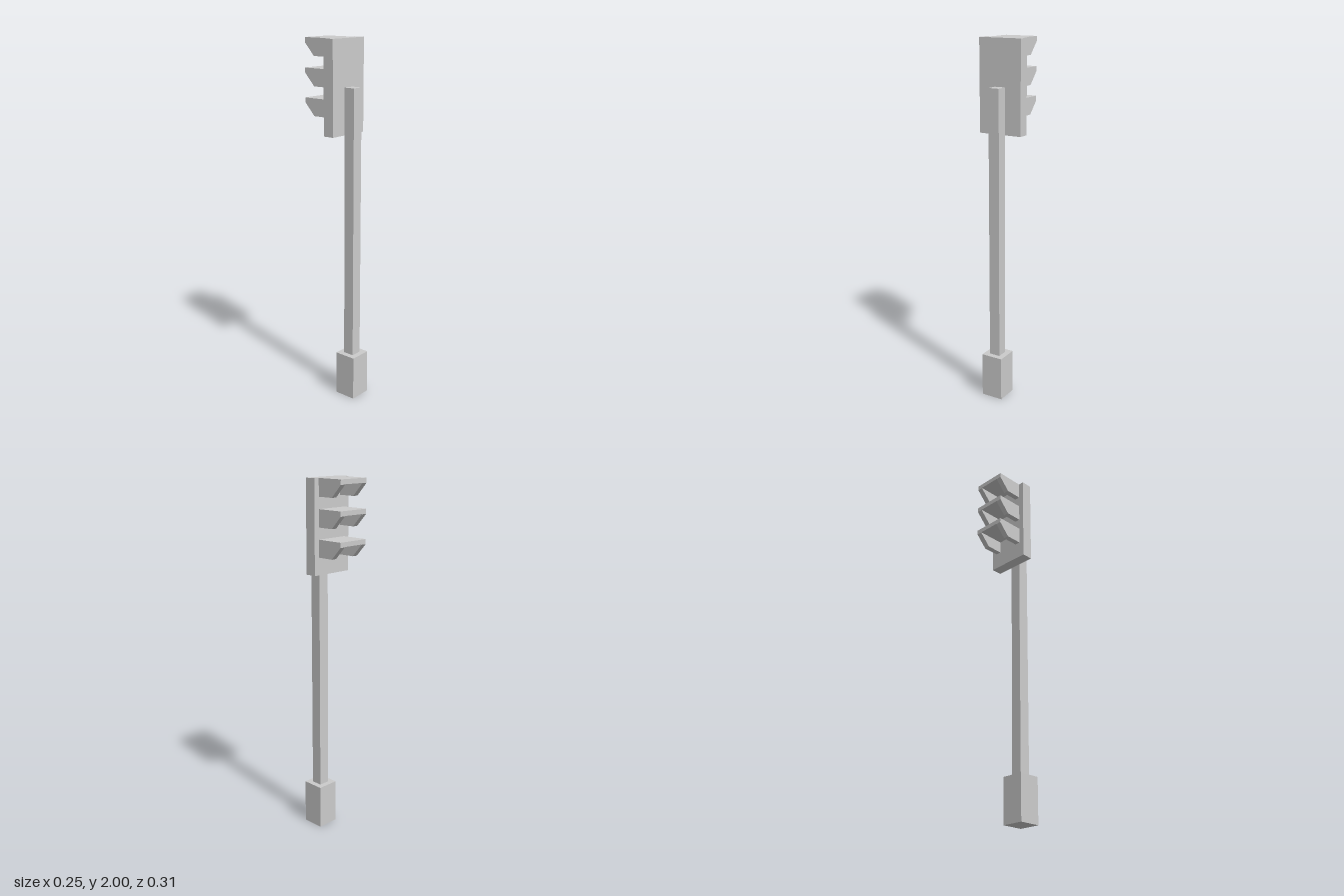
import * as THREE from 'three';

const U = 1 / 32; // modelling unit

export function createModel() {
  const model = new THREE.Group();
  model.name = 'trafficLight';
  const material = new THREE.MeshStandardMaterial({ color: 0xcccccc, flatShading: true });

  const add = (parent, name, geometry, x, y, z) => {
    const mesh = new THREE.Mesh(geometry, material);
    mesh.name = name;
    mesh.position.set(x, y, z);
    parent.add(mesh);
    return mesh;
  };
  // Box given in units by its size, bottom height and centre z
  const box = (parent, name, w, h, d, bottom, z) =>
    add(parent, name, new THREE.BoxGeometry(w * U, h * U, d * U), 0, (bottom + h / 2) * U, z * U);

  // Foot, post and signal board
  box(model, 'base', 4, 8, 4, 0, 3);
  box(model, 'pole', 2, 48, 2, 8, 3);
  box(model, 'signalBoard', 8, 16, 2, 48, 1);

  // Hood side cheek: profile in (depth, height), extruded one unit across
  const cheek = new THREE.ExtrudeGeometry(
    new THREE.Shape([[0, -3], [3, -3], [5, -0.85], [5, -0.8], [0, -0.8]]
      .map(([d, y]) => new THREE.Vector2(d * U, y * U))),
    { depth: U, bevelEnabled: false });
  cheek.translate(0, 0, -U / 2);
  cheek.rotateY(Math.PI / 2); // depth now runs to -z

  // Three hoods, open below and in front
  for (let i = 0; i < 3; i++) {
    const hood = new THREE.Group();
    hood.name = ['topHood', 'middleHood', 'bottomHood'][i];
    hood.position.y = (64 - 5 * i) * U;
    box(hood, 'hoodRoof', 6, 0.8, 5, -0.8, -2.5);
    for (const side of [-1, 1]) add(hood, 'hoodCheek', cheek, side * 2.5 * U, 0, 0);
    model.add(hood);
  }
  return model;
}
